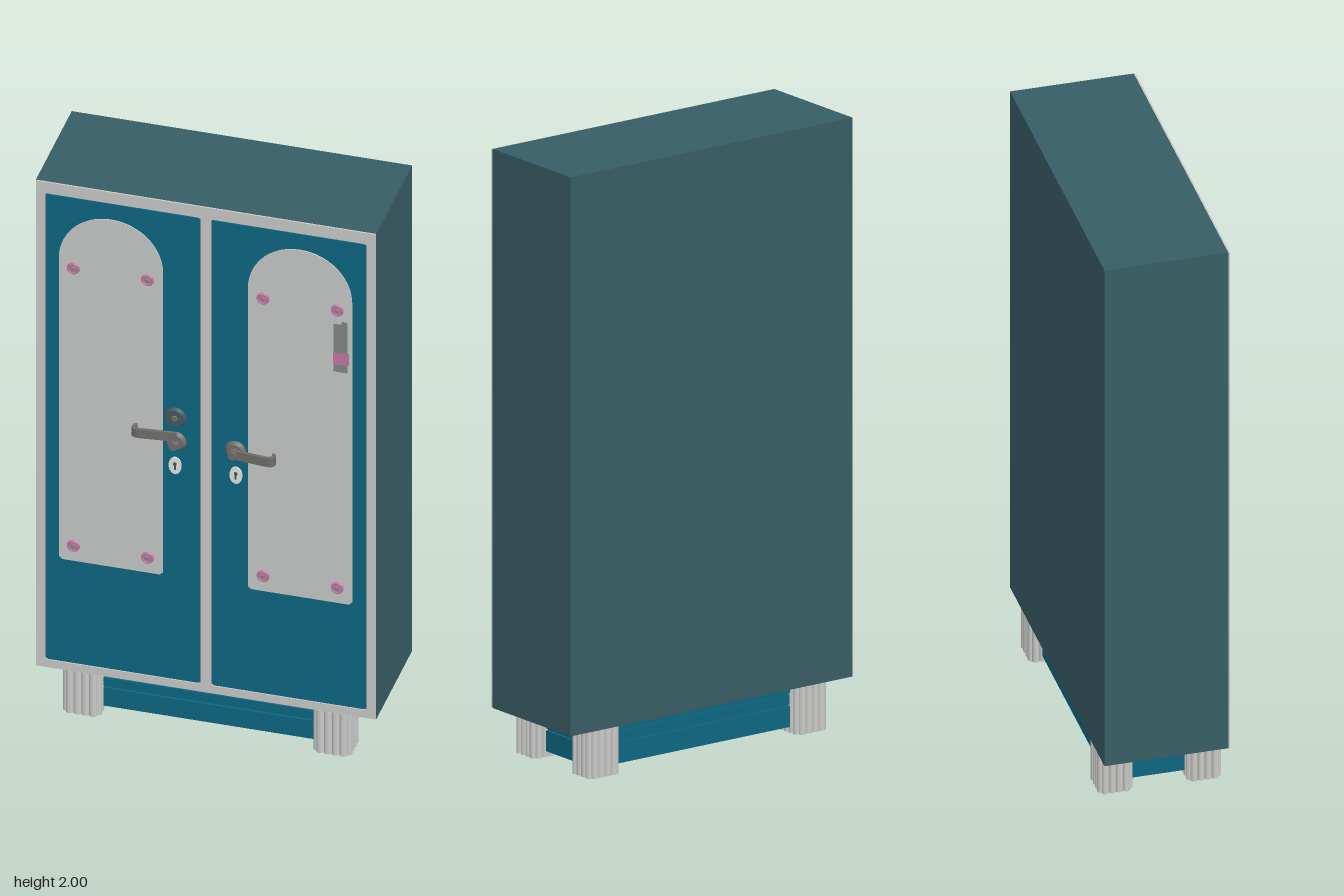
import * as THREE from 'three';

const mat = (name, color) => {
  const m = new THREE.MeshStandardMaterial({ color });
  m.name = name;
  return m;
};

export function createModel() {
  const teal = mat('cabinet teal', 0x375d64);
  const pale = mat('pale grey', 0xc8c9c7);
  const blue = mat('door blue', 0x0c6680);
  const mirror = mat('mirror grey', 0xc6c8c8);
  const metal = mat('handle metal', 0x6d6d69);
  const pink = mat('rosette pink', 0xc277a2);
  const dark = mat('dark lock', 0x46585e);
  const grey = mat('sticker grey', 0x828684);
  const white = mat('keyhole white', 0xe2e4e4);

  const root = new THREE.Group();
  root.name = 'cupboard';
  const add = (name, geo, material, x = 0, y = 0, z = 0, parent = root) => {
    const m = new THREE.Mesh(geo, material);
    m.name = name;
    m.position.set(x, y, z);
    parent.add(m);
    return m;
  };
  const box = (w, h, d) => new THREE.BoxGeometry(w, h, d);
  const plate = (shape, depth) => new THREE.ExtrudeGeometry(shape, { depth, bevelEnabled: false, curveSegments: 20 });
  // Disc or dome that faces the front
  const disc = (r1, r2, d) => new THREE.CylinderGeometry(r1, r2, d, 24).rotateX(Math.PI / 2);

  const rounded = (x0, y0, x1, y1, r, Type = THREE.Shape) => {
    const s = new Type();
    s.moveTo(x0 + r, y0);
    s.lineTo(x1 - r, y0);
    s.quadraticCurveTo(x1, y0, x1, y0 + r);
    s.lineTo(x1, y1 - r);
    s.quadraticCurveTo(x1, y1, x1 - r, y1);
    s.lineTo(x0 + r, y1);
    s.quadraticCurveTo(x0, y1, x0, y1 - r);
    s.lineTo(x0, y0 + r);
    s.quadraticCurveTo(x0, y0, x0 + r, y0);
    return s;
  };

  // Carcass and front frame
  add('body', box(1.12, 1.84, 0.406), teal, 0, 1.08, -0.025);
  const frame = rounded(-0.559, 0.161, 0.559, 1.999, 0.002);
  for (const s of [-1, 1]) {
    const a = s * 0.017, b = s * 0.529;
    frame.holes.push(rounded(Math.min(a, b), 0.19, Math.max(a, b), 1.957, 0.01, THREE.Path));
  }
  add('frontFrame', plate(frame, 0.006), pale, 0, 0, 0.178);

  // Doors with arched panels, rosettes, handles and keyholes
  for (const s of [-1, 1]) {
    const door = new THREE.Group();
    door.name = s < 0 ? 'rightDoor' : 'leftDoor';
    root.add(door);
    const put = (name, geo, material, x, y, z) => add(name, geo, material, x, y, z, door);

    put('doorPanel', plate(rounded(-0.253, 0.193, 0.253, 1.954, 0.01), 0.006), blue, s * 0.273, 0, 0.178);

    const arch = new THREE.Shape();
    arch.moveTo(-0.161, 0.583);
    arch.lineTo(0.161, 0.583);
    arch.lineTo(0.171, 0.593);
    arch.lineTo(0.171, 1.726);
    arch.absarc(0, 1.726, 0.171, 0, Math.PI, false);
    arch.lineTo(-0.171, 0.593);
    put('archedPanel', plate(arch, 0.005), mirror, s * 0.311, 0, 0.183);

    for (const x of [0.19, 0.434]) for (const y of [0.641, 1.693]) {
      put('rosetteBase', disc(0.018, 0.022, 0.006), pink, s * x, y, 0.19);
      put('rosetteRing', new THREE.TorusGeometry(0.017, 0.0035, 8, 24), pink, s * x, y, 0.192);
      put('rosetteScrew', disc(0.007, 0.009, 0.006), grey, s * x, y, 0.194);
    }

    // Lever handle: boss, spindle and a flat bar that curls back at the tip
    put('handleBoss', disc(0.026, 0.035, 0.012), metal, s * 0.098, 1.097, 0.19);
    put('handleSpindle', disc(0.014, 0.014, 0.03), metal, s * 0.098, 1.097, 0.207);
    const lever = new THREE.Shape();
    lever.moveTo(0.09, 0.203);
    lever.lineTo(0.09, 0.213);
    lever.lineTo(0.205, 0.225);
    lever.quadraticCurveTo(0.236, 0.227, 0.236, 0.208);
    lever.quadraticCurveTo(0.236, 0.19, 0.222, 0.19);
    lever.lineTo(0.222, 0.197);
    lever.quadraticCurveTo(0.23, 0.214, 0.208, 0.214);
    lever.lineTo(0.09, 0.203);
    const bar = plate(lever, 0.032).rotateX(Math.PI / 2);
    if (s < 0) {
      // Turn the bar over so it points the other way
      bar.rotateZ(Math.PI);
      bar.translate(0, 2 * 1.097 - 0.032, 0);
      put('handleLever', bar, metal, 0, -1.097 + 0.048, 0);
    } else put('handleLever', bar, metal, 0, 1.113, 0);

    put('keyPlate', disc(0.021, 0.021, 0.006).scale(1, 1.5, 1), white, s * 0.1, 1.005, 0.186);
    put('keyHole', disc(0.006, 0.006, 0.002), dark, s * 0.1, 1.012, 0.1895);
    put('keySlot', box(0.006, 0.022, 0.002), dark, s * 0.1, 1.002, 0.1895);
  }
  add('lockKnob', disc(0.03, 0.037, 0.012), dark, -0.1, 1.187, 0.189);
  add('lockCap', disc(0.009, 0.012, 0.004), metal, -0.1, 1.187, 0.196);

  // Sticker on the left arched panel
  add('stickerTop', box(0.046, 0.108, 0.002), grey, 0.445, 1.586, 0.1885);
  add('stickerTip', box(0.02, 0.016, 0.002), grey, 0.458, 1.643, 0.1885);
  add('stickerBand', box(0.052, 0.045, 0.002), pink, 0.446, 1.511, 0.1885);
  add('stickerBottom', box(0.046, 0.028, 0.002), grey, 0.445, 1.474, 0.1885);

  // Stepped plinth between the legs
  [[0.02, 0.088, 0], [0.088, 0.094, 0.008], [0.094, 0.126, 0.002], [0.126, 0.132, 0.008], [0.132, 0.162, 0]]
    .forEach(([y0, y1, inset]) => {
      add('plinth', box(0.86 - 2 * inset, y1 - y0, 0.32 - 2 * inset), blue, 0, (y0 + y1) / 2, -0.019);
    });

  // Legs with rounded flutes on all four sides
  const flutes = new THREE.Shape();
  const n = 4, half = 0.05, r = half / n;
  flutes.moveTo(-half, -half);
  for (let side = 0; side < 4; side++) {
    const a = side * Math.PI / 2, c = Math.cos(a), d = Math.sin(a);
    for (let i = 0; i < n; i++) {
      const u = -half + r * (2 * i + 1), v = -half;
      flutes.absarc(u * c - v * d, u * d + v * c, r, a + Math.PI, a + 2 * Math.PI, false);
    }
  }
  const legGeo = new THREE.ExtrudeGeometry(flutes, { depth: 0.16, bevelEnabled: false, curveSegments: 8 })
    .rotateX(-Math.PI / 2).scale(1.01, 1, 0.92);
  for (const x of [-0.412, 0.412]) for (const z of [0.127, -0.164]) add('leg', legGeo, pale, x, 0, z);

  return root;
}
